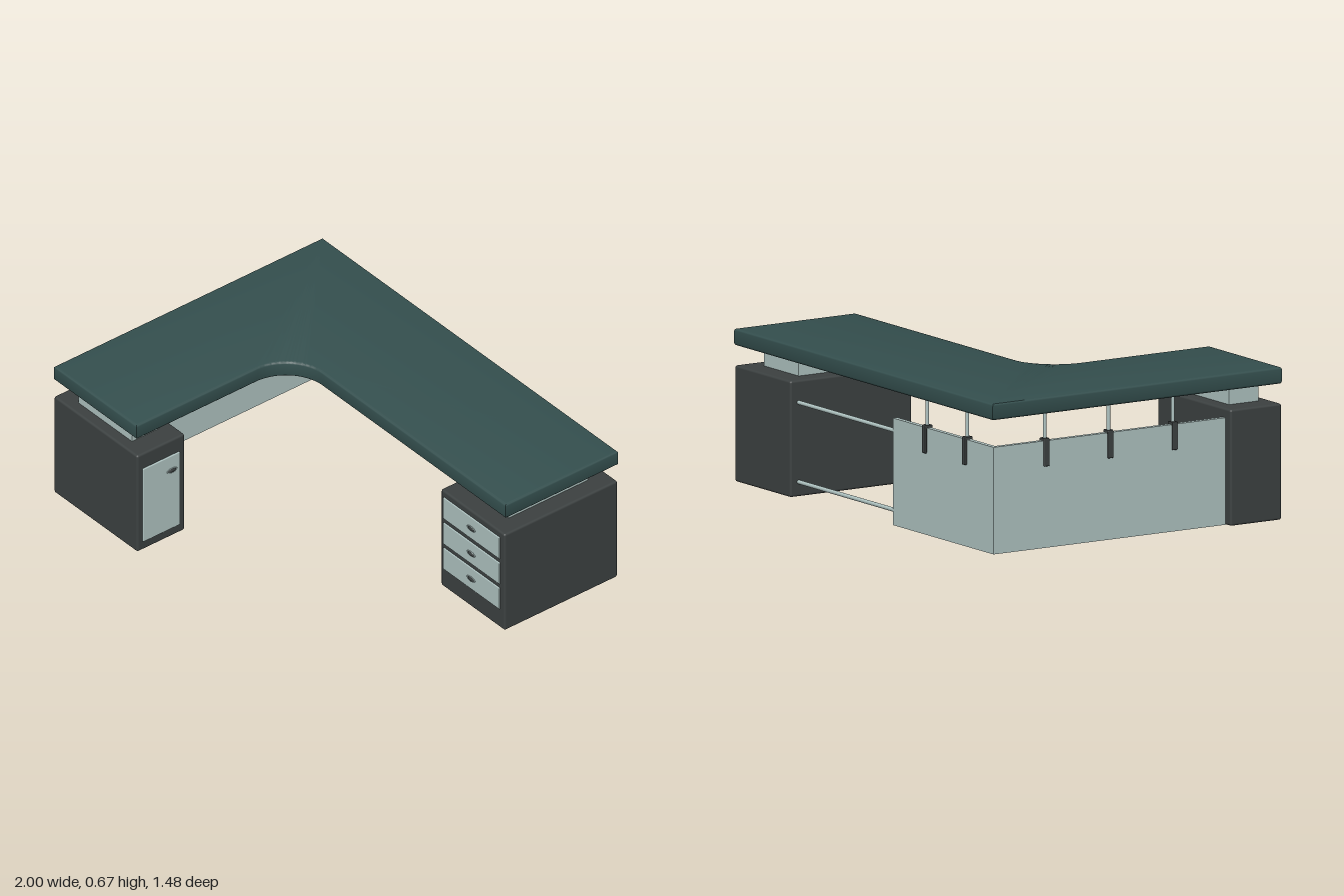
import * as THREE from 'three';
import { RoundedBoxGeometry } from 'three/addons/geometries/RoundedBoxGeometry.js';
import { toCreasedNormals } from 'three/addons/utils/BufferGeometryUtils.js';

export function createModel() {
  const desk = new THREE.Group();
  desk.name = 'cornerDesk';
  const mat = (name, color) => {
    const m = new THREE.MeshStandardMaterial({ color });
    m.name = name;
    return m;
  };
  const green = mat('dark green top', 0x344f4e);
  const charcoal = mat('charcoal', 0x3c4141);
  const pale = mat('pale grey green', 0xafc3c1);

  const add = (name, geometry, material, parent = desk) => {
    const mesh = new THREE.Mesh(geometry, material);
    mesh.name = name;
    parent.add(mesh);
    return mesh;
  };
  // Box from its limits on each axis, with optional rounded edges
  const box = (name, material, [x0, x1], [y0, y1], [z0, z1], r = 0, parent = desk) => {
    const size = [x1 - x0, y1 - y0, z1 - z0];
    const g = r ? new RoundedBoxGeometry(...size, 2, r) : new THREE.BoxGeometry(...size);
    const mesh = add(name, g, material, parent);
    mesh.position.set((x0 + x1) / 2, (y0 + y1) / 2, (z0 + z1) / 2);
    return mesh;
  };

  // L-shaped top with a rounded inner corner (shape y is -z)
  const b = 0.01;
  const outline = new THREE.Shape();
  outline.moveTo(-1, -0.74);
  outline.lineTo(-0.44, -0.74);
  outline.lineTo(-0.44, -0.08);
  outline.absarc(-0.24, -0.08, 0.2, Math.PI, Math.PI / 2, true);
  outline.lineTo(1, 0.12);
  outline.lineTo(1, 0.74);
  outline.lineTo(-1, 0.74);
  outline.closePath();
  const slab = new THREE.ExtrudeGeometry(outline, {
    depth: 0.073 - 2 * b, bevelEnabled: true, bevelThickness: b, bevelSize: b,
    bevelOffset: -b, bevelSegments: 3, curveSegments: 20,
  });
  slab.rotateX(-Math.PI / 2);
  slab.translate(0, 0.592 + b, 0);
  add('deskTop', toCreasedNormals(slab, 0.6), green);

  // Pedestals and the pale blocks that carry the top
  box('leftCabinet', charcoal, [-1, -0.435], [0, 0.506], [0.478, 0.74], 0.01);
  box('rightCabinet', charcoal, [0.565, 0.997], [0, 0.506], [-0.74, -0.117], 0.01);
  box('leftRiser', pale, [-0.897, -0.535], [0.5, 0.595], [0.538, 0.688]);
  box('rightRiser', pale, [0.645, 0.912], [0.5, 0.595], [-0.645, -0.21]);

  // Oval pull facing +z: pale rim with a dark grip
  const pull = (parent) => {
    const g = new THREE.Group();
    g.name = 'pull';
    const rim = add('pullRim', new THREE.TorusGeometry(0.02, 0.003, 6, 28), pale, g);
    rim.scale.set(1.25, 0.5, 1);
    const grip = add('pullGrip', new THREE.SphereGeometry(1, 20, 10), charcoal, g);
    grip.scale.set(0.021, 0.009, 0.006);
    parent.add(g);
    return g;
  };

  // Three drawers on the front of the right cabinet
  for (const [y0, y1] of [[0.097, 0.21], [0.23, 0.343], [0.363, 0.476]]) {
    box('drawer', pale, [0.585, 0.967], [y0, y1], [-0.135, -0.112], 0.004);
    pull(desk).position.set(0.777, (y0 + y1) / 2, -0.111);
  }

  // Door on the inner side of the left cabinet
  box('door', pale, [-0.45, -0.428], [0.045, 0.429], [0.508, 0.712], 0.004);
  const doorPull = pull(desk);
  doorPull.position.set(-0.427, 0.354, 0.555);
  doorPull.rotation.y = Math.PI / 2;

  // Privacy panels along the left side and the back
  const t = 0.022, px = -0.948, pz = -0.698;
  box('sidePanel', pale, [px - t / 2, px + t / 2], [0, 0.466], [pz - t / 2, 0.482]);
  box('backPanel', pale, [px + t / 2, -0.18], [0, 0.466], [pz - t / 2, pz + t / 2]);

  // Clamps over the panel edge, each with a rod up to the top
  const clamp = (x, z, turn) => {
    const g = new THREE.Group();
    g.name = 'panelClamp';
    for (const s of [-1, 1]) {
      const d = s * (t / 2 + 0.004);
      box('clampPlate', charcoal, [-0.014, 0.014], [0.355, 0.477], [d - 0.005, d + 0.005], 0.004, g);
    }
    box('clampCap', charcoal, [-0.014, 0.014], [0.462, 0.477], [-0.013, 0.013], 0, g);
    const rod = add('clampRod', new THREE.CylinderGeometry(0.008, 0.008, 0.13, 16), pale, g);
    rod.position.y = 0.535;
    g.position.set(x, 0, z);
    g.rotation.y = turn;
    desk.add(g);
  };
  for (const x of [-0.74, -0.43]) clamp(x, pz, 0);
  for (const z of [-0.44, -0.113, 0.217]) clamp(px, z, Math.PI / 2);

  // Two rails from the back panel to the right cabinet
  for (const y of [0.064, 0.41]) {
    const rail = add('rail', new THREE.CylinderGeometry(0.009, 0.009, 0.77, 16), pale);
    rail.rotation.z = Math.PI / 2;
    rail.position.set(0.19, y, pz);
  }
  return desk;
}
